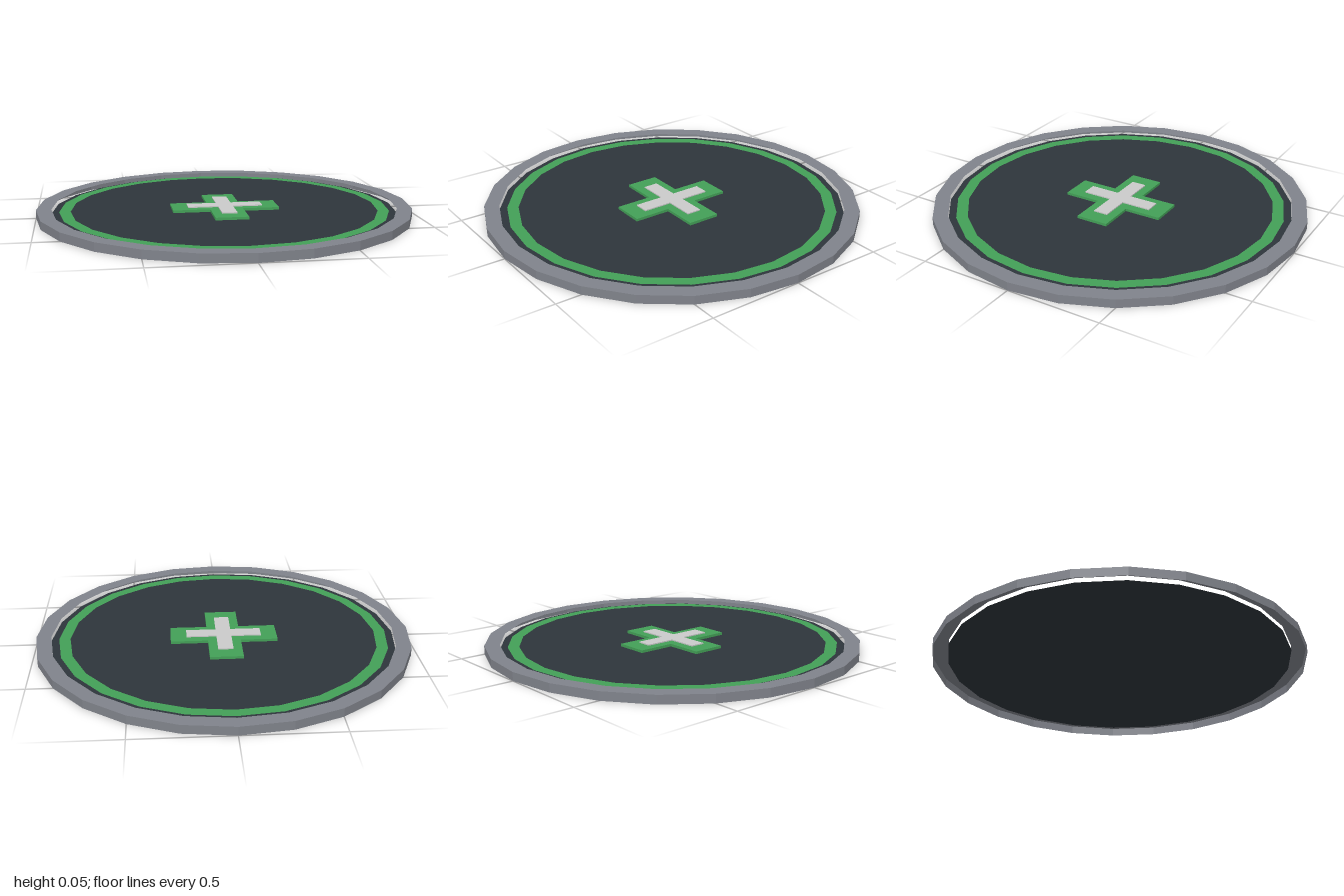
import * as THREE from 'three';

const SIDES = 24;

function makeMaterial(name, color) {
  const material = new THREE.MeshStandardMaterial({ color, flatShading: true, side: THREE.DoubleSide });
  material.name = name;
  return material;
}

// Plus-shaped slab lying flat, with its base at y
function makeCross(name, reach, half, y, height, material) {
  const a = reach, b = half;
  const outline = [[b, b], [b, a], [-b, a], [-b, b], [-a, b], [-a, -b],
    [-b, -b], [-b, -a], [b, -a], [b, -b], [a, -b], [a, b]];
  const shape = new THREE.Shape(outline.map(([x, z]) => new THREE.Vector2(x, z)));
  const geometry = new THREE.ExtrudeGeometry(shape, { depth: height, bevelEnabled: false });
  geometry.rotateX(-Math.PI / 2);
  const mesh = new THREE.Mesh(geometry, material);
  mesh.name = name;
  mesh.position.y = y;
  return mesh;
}

// Flat part lying face up at height y
function makeFlat(name, geometry, y, material) {
  geometry.rotateX(-Math.PI / 2);
  const mesh = new THREE.Mesh(geometry, material);
  mesh.name = name;
  mesh.position.y = y;
  return mesh;
}

export function createModel() {
  const steel = makeMaterial('steel grey', 0x80838b);
  const charcoal = makeMaterial('charcoal', 0x2e353b);
  const green = makeMaterial('green', 0x43a057);
  const pale = makeMaterial('pale grey', 0xcacaca);

  const group = new THREE.Group();
  group.name = 'landingPad';

  // Rim: outer wall and top lip, open underneath
  const profile = [[1, 0], [1, 0.045], [0.92, 0.045]].map(([r, y]) => new THREE.Vector2(r, y));
  const rim = new THREE.Mesh(new THREE.LatheGeometry(profile, SIDES), steel);
  rim.name = 'rim';
  group.add(rim);

  // Recessed floor and its painted band
  group.add(makeFlat('floor', new THREE.CircleGeometry(0.92, SIDES), 0.022, charcoal));
  group.add(makeFlat('greenBand', new THREE.RingGeometry(0.82, 0.88, SIDES), 0.03, green));

  // Raised cross with a pale inlay
  group.add(makeCross('greenCross', 0.285, 0.0875, 0.024, 0.014, green));
  group.add(makeCross('paleCross', 0.2, 0.04, 0.038, 0.006, pale));

  return group;
}
